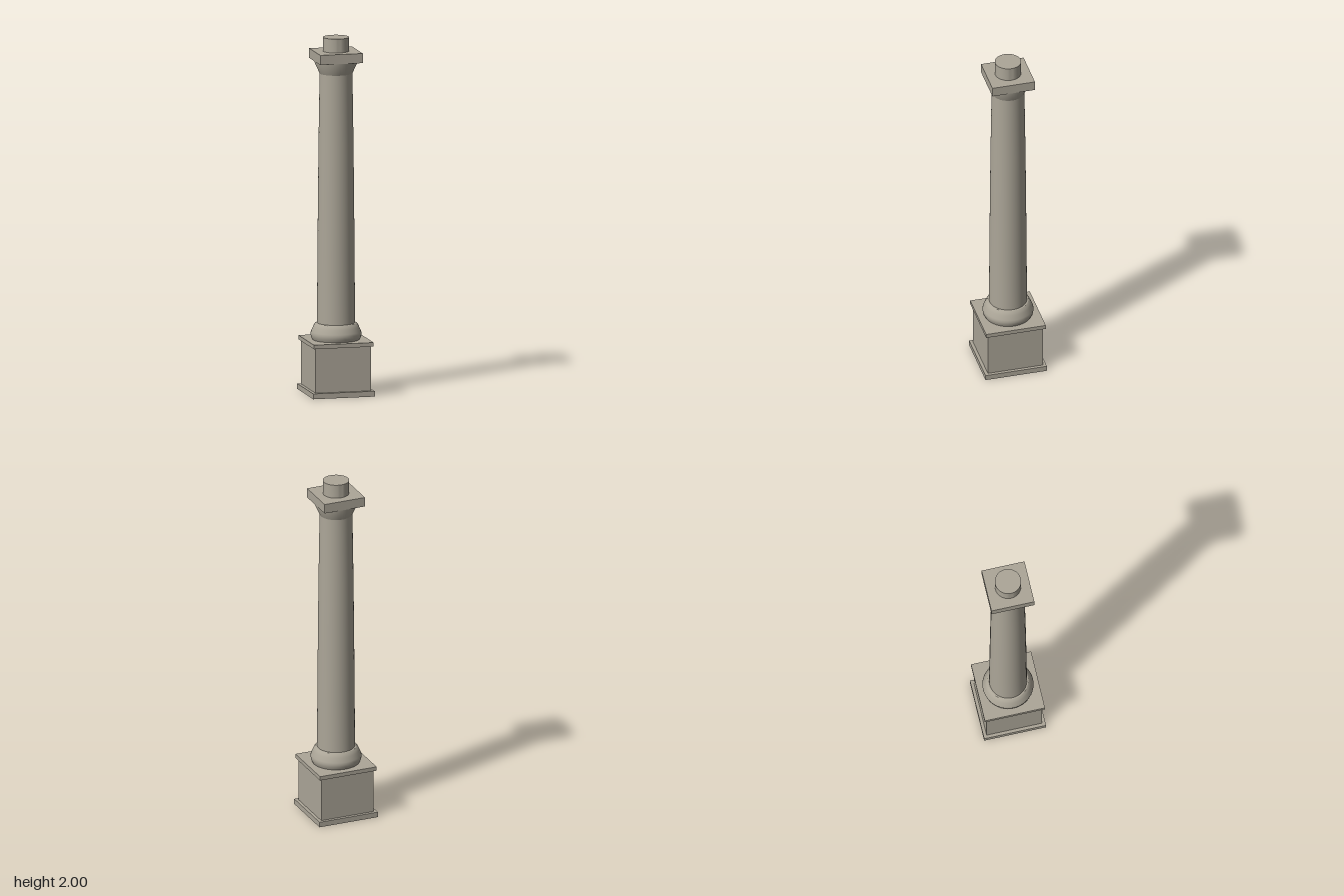
import * as THREE from 'three';
import { toCreasedNormals } from 'three/addons/utils/BufferGeometryUtils.js';

const SEGMENTS = 48;

export function createModel() {
  const column = new THREE.Group();
  column.name = 'column';
  const stone = new THREE.MeshStandardMaterial({ color: 0xaca698 });

  const add = (name, geometry) => {
    const mesh = new THREE.Mesh(geometry, stone);
    mesh.name = name;
    column.add(mesh);
  };

  // Square slab between two heights
  const slab = (name, half, y0, y1) =>
    add(name, new THREE.BoxGeometry(2 * half, y1 - y0, 2 * half).translate(0, (y0 + y1) / 2, 0));

  // Turned part from [radius, height] pairs, bottom to top
  const turned = (name, profile) => {
    const points = profile.map(([r, y]) => new THREE.Vector2(r, y));
    add(name, toCreasedNormals(new THREE.LatheGeometry(points, SEGMENTS), 0.5));
  };

  // Pedestal
  slab('pedestalPlinth', 0.176, 0, 0.03);
  slab('pedestalBlock', 0.158, 0.03, 0.28);
  slab('pedestalCap', 0.171, 0.28, 0.303);

  // Rounded moulding under the shaft
  turned('baseMoulding', [
    [0, 0.303], [0.132, 0.303], [0.139, 0.318], [0.142, 0.335], [0.139, 0.347],
    [0.128, 0.372], [0.122, 0.385], [0.113, 0.394], [0.1, 0.397], [0, 0.397],
  ]);

  // Shaft with a gentle taper
  turned('shaft', [
    [0, 0.39], [0.105, 0.39], [0.1035, 0.7], [0.1005, 1.05], [0.097, 1.4], [0.091, 1.8], [0, 1.8],
  ]);

  // Capital
  turned('capitalFlare', [[0, 1.797], [0.091, 1.797], [0.122, 1.865], [0.122, 1.873], [0, 1.873]]);
  slab('capitalSlab', 0.122, 1.868, 1.922);

  // Round stub on top
  turned('topStub', [[0, 1.92], [0.073, 1.92], [0.073, 2], [0, 2]]);

  return column;
}
